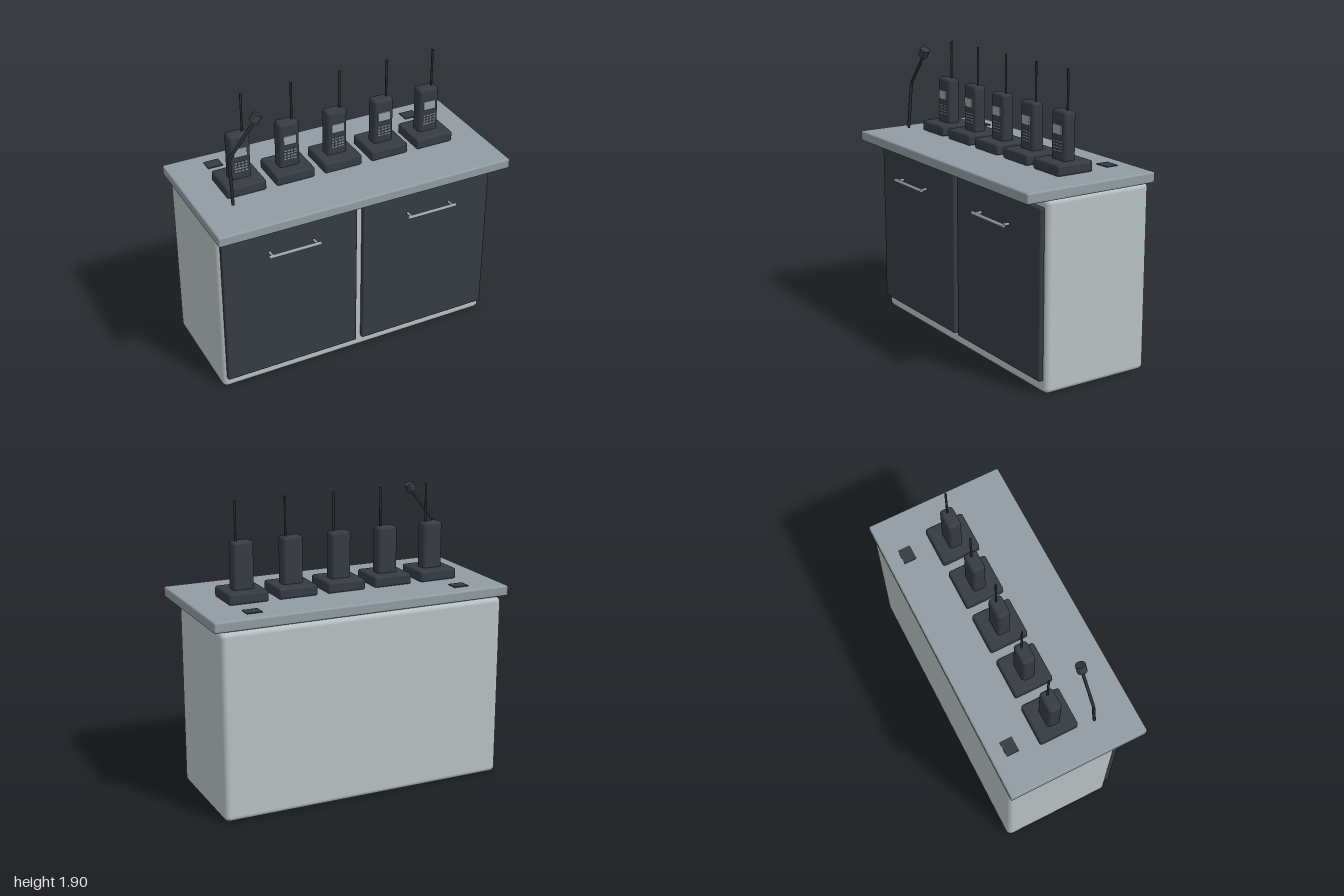
import * as THREE from 'three';
import { RoundedBoxGeometry } from 'three/addons/geometries/RoundedBoxGeometry.js';

const mat = (name, color) => {
  const m = new THREE.MeshStandardMaterial({ color });
  m.name = name;
  return m;
};

export function createModel() {
  const shell = mat('pale grey', 0xb9c1c3);
  const slab = mat('slate grey', 0x919ca2);
  const dark = mat('charcoal', 0x363b43);
  const black = mat('blue black', 0x272d34);
  const metal = mat('brushed metal', 0x9aa3ac);
  const glass = mat('screen grey', 0x98a3aa);

  const model = new THREE.Group();
  model.name = 'radioCounter';

  const add = (parent, name, geometry, material, x, y, z) => {
    const mesh = new THREE.Mesh(geometry, material);
    mesh.name = name;
    mesh.position.set(x, y, z);
    parent.add(mesh);
    return mesh;
  };
  const group = (name, x, y, z) => {
    const g = new THREE.Group();
    g.name = name;
    g.position.set(x, y, z);
    model.add(g);
    return g;
  };

  // Cabinet and countertop
  add(model, 'cabinet', new RoundedBoxGeometry(1.914, 1.206, 0.75, 4, 0.035), shell, 0, 0.603, -0.08);
  add(model, 'countertop', new RoundedBoxGeometry(2, 0.068, 0.928, 3, 0.012), slab, 0, 1.244, 0.002);

  // Doors with bar handles, and cable plates at the back of the counter
  for (const side of [-1, 1]) {
    const prefix = side > 0 ? 'left' : 'right';
    add(model, prefix + 'Door', new RoundedBoxGeometry(0.915, 1.07, 0.036, 2, 0.01), dark, side * 0.479, 0.622, 0.314);
    const handle = group(prefix + 'Handle', side * 0.481, 0.994, 0.396);
    add(handle, 'bar', new THREE.CylinderGeometry(0.011, 0.011, 0.35, 16), metal, 0, 0, 0).rotation.z = Math.PI / 2;
    for (const end of [-1, 1]) {
      add(handle, 'standoff', new THREE.CylinderGeometry(0.009, 0.009, 0.054, 12), metal, end * 0.15, 0, -0.025).rotation.x = Math.PI / 2;
    }
    add(model, prefix + 'CablePlate', new THREE.BoxGeometry(0.1, 0.008, 0.083), dark, side * 0.708, 1.28, -0.326);
  }

  // Row of five handheld radios in charging docks
  const dockGeo = new RoundedBoxGeometry(0.262, 0.072, 0.258, 3, 0.016);
  const bodyGeo = new RoundedBoxGeometry(0.138, 0.33, 0.088, 4, 0.022);
  const antennaGeo = new THREE.CylinderGeometry(0.007, 0.007, 0.27, 12);
  const screenGeo = new THREE.BoxGeometry(0.086, 0.06, 0.008);
  const buttonGeo = new THREE.BoxGeometry(0.017, 0.009, 0.008);
  for (let i = 0; i < 5; i++) {
    const radio = group('radio' + (i + 1), (i - 2) * 0.329, 1.276, -0.028);
    add(radio, 'dock', dockGeo, dark, 0, 0.035, 0);
    add(radio, 'body', bodyGeo, dark, 0, 0.206, -0.003);
    add(radio, 'antenna', antennaGeo, black, 0.036, 0.485, -0.005);
    add(radio, 'screen', screenGeo, glass, 0, 0.256, 0.0445);
    for (let row = 0; row < 4; row++) {
      for (let col = 0; col < 4; col++) {
        add(radio, 'button', buttonGeo, glass, (col - 1.5) * 0.023, 0.184 - row * 0.019, 0.0425);
      }
    }
  }

  // Bent microphone stand with a tilted capsule
  const mic = group('microphone', 0, 0, 0);
  const points = [[-0.797, 1.304, 0.206], [-0.797, 1.605, 0.179], [-0.63, 1.815, 0.179]]
    .map((p) => new THREE.Vector3(...p));
  for (let i = 0; i < 2; i++) {
    const dir = points[i + 1].clone().sub(points[i]);
    const mid = points[i].clone().addScaledVector(dir, 0.5);
    const rod = add(mic, 'stem', new THREE.CylinderGeometry(0.01, 0.01, dir.length(), 12), black, mid.x, mid.y, mid.z);
    rod.quaternion.setFromUnitVectors(new THREE.Vector3(0, 1, 0), dir.normalize());
  }
  add(mic, 'elbow', new THREE.SphereGeometry(0.0105, 12, 8), black, points[1].x, points[1].y, points[1].z);
  add(mic, 'capsule', new THREE.CylinderGeometry(0.031, 0.031, 0.052, 20), dark, -0.62, 1.838, 0.179).rotation.z = -0.55;

  return model;
}
